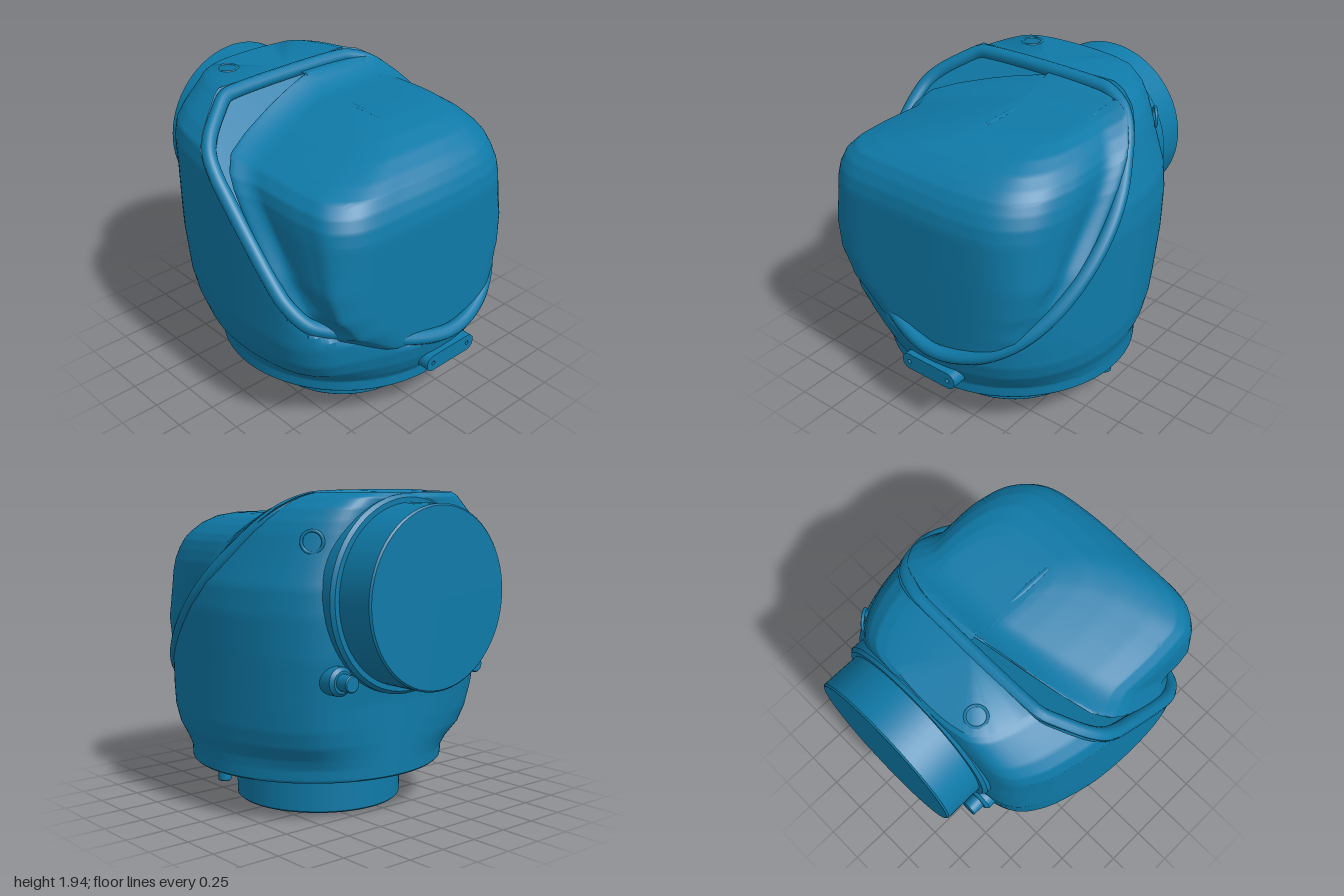
import * as THREE from 'three';
import { toCreasedNormals } from 'three/addons/utils/BufferGeometryUtils.js';

// Slanted parting plane between rear housing and front cover
const planeZ = (y) => 0.96 - (y - 0.58) * 0.985;

// Smooth closed outline, normalised to -1..1 in x and z
function outline(points, n = 144) {
  const curve = new THREE.CatmullRomCurve3(
    points.map(([x, z]) => new THREE.Vector3(x, 0, z)), true, 'centripetal');
  const pts = curve.getSpacedPoints(n).slice(0, n);
  const box = new THREE.Box3().setFromPoints(pts);
  const c = box.getCenter(new THREE.Vector3());
  const h = box.getSize(new THREE.Vector3()).multiplyScalar(0.5);
  return pts.map((p) => [(p.x - c.x) / h.x, (p.z - c.z) / h.z]);
}

// Stack an outline through rows of [y, xMin, xMax, zMin, zMax, roundness],
// bend each point by a rule and cap both ends
function loft(shape, rows, warp, steps = 6) {
  const fine = [];
  rows.slice(0, -1).forEach((r, j) => {
    for (let k = 0; k < steps; k++) {
      fine.push(r.map((v, c) => THREE.MathUtils.lerp(v, rows[j + 1][c], k / steps)));
    }
  });
  fine.push(rows[rows.length - 1]);
  const n = shape.length, pos = [], idx = [];
  for (const [y, x0, x1, z0, z1, w] of fine) {
    for (const [u, v] of shape) {
      const s = THREE.MathUtils.lerp(1, 1 / Math.hypot(u, v), w);
      const x = (x0 + x1) / 2 + u * s * (x1 - x0) / 2;
      const z = (z0 + z1) / 2 + v * s * (z1 - z0) / 2;
      pos.push(...warp(x, y, z));
    }
  }
  for (let j = 0; j < fine.length - 1; j++) {
    for (let i = 0; i < n; i++) {
      const a = j * n + i, b = j * n + (i + 1) % n;
      idx.push(a, b, b + n, a, b + n, a + n);
    }
  }
  for (const [j, top] of [[0, false], [fine.length - 1, true]]) {
    const [y, x0, x1, z0, z1] = fine[j];
    const c = pos.length / 3;
    pos.push(...warp((x0 + x1) / 2, y, (z0 + z1) / 2));
    for (let i = 0; i < n; i++) {
      const a = j * n + i, b = j * n + (i + 1) % n;
      if (top) idx.push(c, a, b); else idx.push(c, b, a);
    }
  }
  const g = new THREE.BufferGeometry();
  g.setAttribute('position', new THREE.Float32BufferAttribute(pos, 3));
  g.setIndex(idx);
  return toCreasedNormals(g, 0.75);
}

export function createModel() {
  const model = new THREE.Group();
  model.name = 'elbowHousing';
  const material = new THREE.MeshStandardMaterial({ color: 0x0f7aa8 });
  const add = (name, geometry, x = 0, y = 0, z = 0) => {
    const mesh = new THREE.Mesh(geometry, material);
    mesh.name = name;
    mesh.position.set(x, y, z);
    model.add(mesh);
    return mesh;
  };
  // Solid round part with a small bevel; axis along y, or along z
  const round = (name, r, h, x, y, z, alongZ = false, bevel = 0.01, sides = 64) => {
    const p = [[0, -h / 2], [r - bevel, -h / 2], [r, -h / 2 + bevel],
      [r, h / 2 - bevel], [r - bevel, h / 2], [0, h / 2]];
    const g = new THREE.LatheGeometry(p.map((q) => new THREE.Vector2(...q)), sides);
    const mesh = add(name, toCreasedNormals(g, 0.5), x, y, z);
    if (alongZ) mesh.rotation.x = Math.PI / 2;
    return mesh;
  };

  // Rear housing: round hollow skirt growing into a boxy shell, cut by the slanted plane
  const bodyShape = outline([
    [0.12, 0.97], [0.4, 0.93], [0.6, 0.84], [0.75, 0.67], [0.85, 0.42], [0.88, 0.1],
    [0.86, -0.2], [0.77, -0.5], [0.62, -0.68], [0.35, -0.73], [-0.4, -0.73], [-0.65, -0.67],
    [-0.77, -0.52], [-0.86, -0.22], [-0.89, 0], [-0.89, 0.45], [-0.85, 0.62], [-0.75, 0.74],
    [-0.5, 0.83], [-0.2, 0.94]]);
  add('rearHousing', loft(bodyShape, [
    [0.40, -0.57, 0.65, -0.54, 0.69, 1],
    [0.26, -0.60, 0.68, -0.56, 0.72, 1],
    [0.26, -0.75, 0.83, -0.69, 0.87, 1],
    [0.27, -0.76, 0.84, -0.70, 0.88, 1],
    [0.34, -0.76, 0.84, -0.70, 0.88, 0.95],
    [0.40, -0.78, 0.845, -0.70, 0.92, 0.75],
    [0.48, -0.84, 0.87, -0.70, 0.95, 0.45],
    [0.58, -0.87, 0.88, -0.70, 0.97, 0.25],
    [0.72, -0.89, 0.88, -0.70, 0.97, 0.1],
    [1.00, -0.89, 0.88, -0.73, 0.97, 0],
    [1.25, -0.89, 0.88, -0.74, 0.97, 0],
    [1.40, -0.89, 0.86, -0.74, 0.97, 0],
    [1.60, -0.89, 0.78, -0.74, 0.97, 0],
    [1.70, -0.86, 0.74, -0.74, 0.97, 0],
    [1.77, -0.79, 0.70, -0.74, 0.97, 0],
    [1.84, -0.69, 0.64, -0.74, 0.97, 0],
    [1.90, -0.60, 0.54, -0.74, 0.97, 0],
    [1.925, -0.55, 0.45, -0.72, 0.97, 0],
  ], (x, y, z) => [x, y, Math.min(z, planeZ(y))]));

  // Bulging front cover, flaring into a fillet where it meets the plane
  const coverShape = outline([
    [-0.97, -1], [-1, -0.5], [-1, 0.3], [-0.95, 0.7], [-0.75, 0.95], [-0.3, 1], [0.3, 1],
    [0.68, 0.9], [0.9, 0.6], [1, 0.1], [1, -0.5], [0.97, -1]]);
  const flare = (x, y, z) => {
    const near = THREE.MathUtils.clamp(1 - (z - planeZ(y)) / 0.2, 0, 1);
    const push = 0.085 * near * near / Math.hypot(x, y - 1.2);
    return [x + x * push, y + (y - 1.2) * push, z];
  };
  add('frontCover', loft(coverShape, [
    [0.60, -0.05, 0.25, 0.93], [0.68, -0.33, 0.48, 0.93], [0.80, -0.60, 0.62, 0.93],
    [0.95, -0.73, 0.71, 0.93], [1.12, -0.78, 0.76, 0.93], [1.42, -0.78, 0.77, 0.93],
    [1.50, -0.775, 0.77, 0.915], [1.57, -0.755, 0.76, 0.885], [1.63, -0.70, 0.745, 0.845],
    [1.675, -0.57, 0.72, 0.79], [1.73, -0.36, 0.67, 0.70], [1.775, -0.16, 0.61, 0.57],
    [1.798, -0.04, 0.54, 0.42], [1.804, 0.00, 0.50, 0.3], [1.805, 0.02, 0.48, 0.0],
    [1.806, 0.02, 0.48, -0.24],
  ].map(([y, x0, x1, z1]) => [y, x0, x1, planeZ(y) - 0.05, z1, 0]), flare));

  // Rounded flange bead around the parting plane
  const bead = [
    [0.12, 0.58], [0.4, 0.63], [0.6, 0.74], [0.74, 0.9], [0.82, 1.1], [0.84, 1.3],
    [0.81, 1.47], [0.74, 1.62], [0.66, 1.75], [0.57, 1.83], [0.44, 1.88], [0.34, 1.89],
    [-0.45, 1.89], [-0.54, 1.88], [-0.63, 1.83], [-0.76, 1.74], [-0.82, 1.67], [-0.845, 1.58],
    [-0.85, 1.48], [-0.85, 1.1], [-0.835, 0.99], [-0.77, 0.88], [-0.66, 0.82], [-0.45, 0.75],
    [-0.2, 0.64]];
  const beadPath = new THREE.CatmullRomCurve3(
    bead.map(([x, y]) => new THREE.Vector3(x, y, planeZ(y))), true, 'centripetal');
  add('flangeBead', new THREE.TubeGeometry(beadPath, 200, 0.045, 12, true));

  // Pipe sockets below and behind, with the raised collar at the back
  round('bottomPipe', 0.525, 0.43, 0.04, 0.215, 0.075);
  round('backPipe', 0.53, 0.4, 0.04, 1.34, -0.8, true);
  round('backCollar', 0.58, 0.2, 0.04, 1.34, -0.65, true, 0.02);

  // Bolts and lugs at the back collar
  for (const x of [-0.46, 0.54]) {
    round('backLug', 0.085, 0.2, x, 0.89, -0.65, true, 0.02, 24);
    round('backBolt', 0.05, 0.12, x, 0.89, -0.77, true, 0.006, 16);
  }
  // Bolt under the rim
  round('bottomBolt', 0.04, 0.12, 0.77, 0.255, 0.08, false, 0.006, 16);

  // Front tab with two screw holes
  const tab = new THREE.Shape();
  tab.absarc(0.15, 0, 0.055, -Math.PI / 2, Math.PI / 2, false);
  tab.absarc(-0.15, 0, 0.055, Math.PI / 2, Math.PI * 1.5, false);
  for (const x of [-0.15, 0.15]) {
    tab.holes.push(new THREE.Path().absarc(x, 0, 0.014, 0, Math.PI * 2, true));
  }
  add('frontTab', new THREE.ExtrudeGeometry(tab, {
    depth: 0.17, bevelEnabled: false, curveSegments: 16 }), 0.1, 0.425, 0.815);

  // Round port rims on the top and the left side
  const port = new THREE.TorusGeometry(0.062, 0.01, 8, 32);
  add('topPort', port, -0.32, 1.92, -0.58).rotation.x = Math.PI / 2;
  add('sidePort', port, 0.62, 1.66, -0.58).rotation.y = Math.PI / 2 + 0.69;

  // Slim rib on the crown of the cover
  add('crownRib', new THREE.SphereGeometry(1, 16, 10), 0.06, 1.797, 0.19)
    .scale.set(0.02, 0.012, 0.19);

  return model;
}
